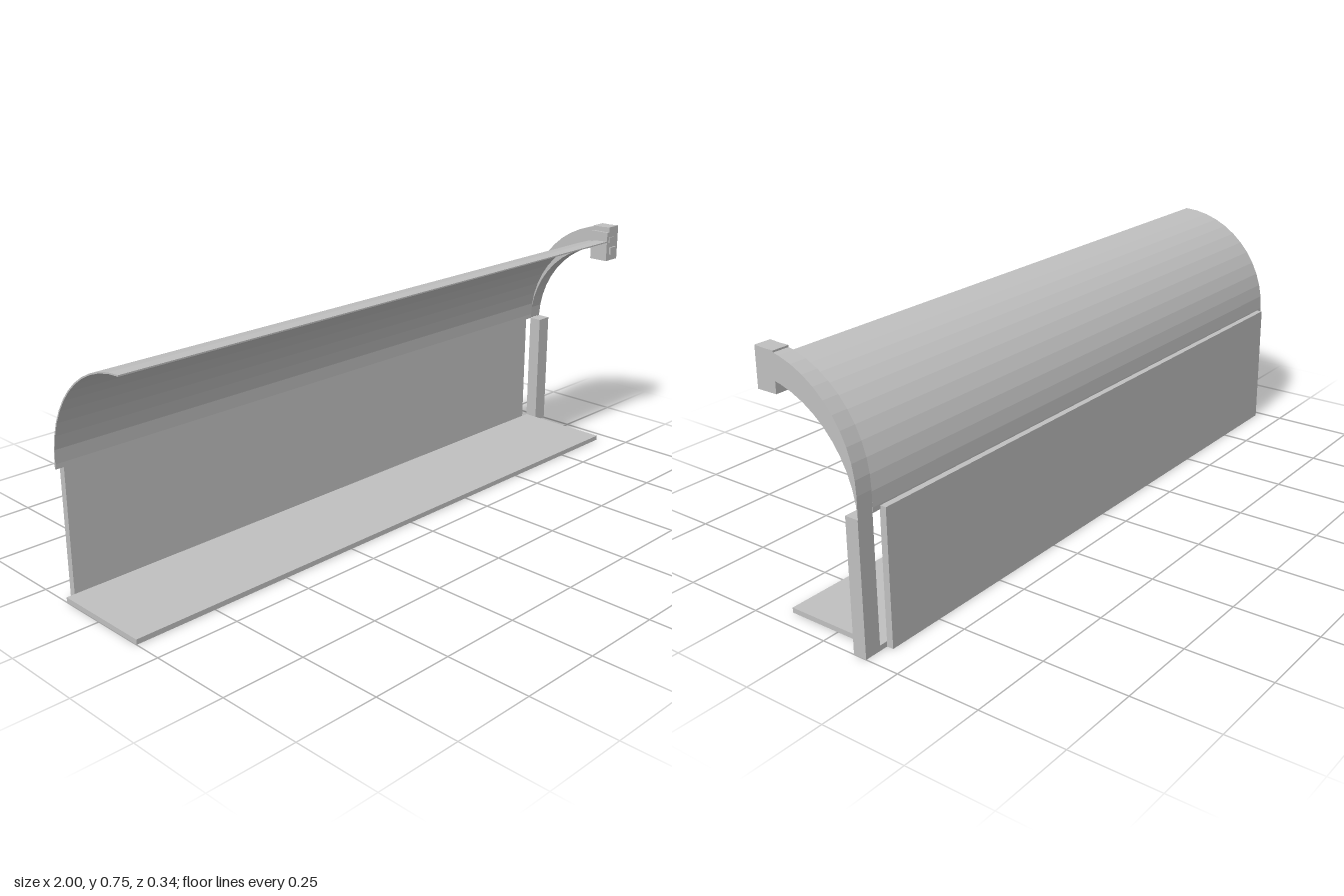
import * as THREE from 'three';

export function createModel() {
  const model = new THREE.Group();
  const grey = new THREE.MeshStandardMaterial({ color: 0xc0c0c0, flatShading: true });
  grey.name = 'plain grey';

  const add = (name, geometry) => {
    const mesh = new THREE.Mesh(geometry, grey);
    mesh.name = name;
    model.add(mesh);
  };
  // Box given by its limits on each axis
  const box = (name, [x0, x1], [y0, y1], [z0, z1]) => {
    const g = new THREE.BoxGeometry(x1 - x0, y1 - y0, z1 - z0);
    g.translate((x0 + x1) / 2, (y0 + y1) / 2, (z0 + z1) / 2);
    add(name, g);
  };
  // Side profile of (z, y) points, swept along x
  const sweep = (name, points, x0, x1) => {
    const g = new THREE.ExtrudeGeometry(new THREE.Shape(points), { depth: x1 - x0, bevelEnabled: false });
    g.rotateY(-Math.PI / 2).translate(x1, 0, 0);
    add(name, g);
  };
  // Quarter arc from the front top (a = 90 degrees) down to the back
  const arc = (cy, r, n, from = Math.PI / 2, to = Math.PI) =>
    Array.from({ length: n + 1 }, (_, i) => {
      const a = from + (to - from) * i / n;
      return new THREE.Vector2(0.163 + r * Math.cos(a), cy + r * Math.sin(a));
    });

  // Floor, back wall and end post
  box('floor', [-1, 0.95], [0, 0.015], [-0.147, 0.163]);
  box('backWall', [-0.975, 0.925], [0, 0.39], [-0.167, -0.147]);
  box('endPost', [0.95, 1], [0, 0.38], [-0.147, -0.106]);

  // Thin curved canopy
  const outer = arc(0.394, 0.312, 12);
  const inner = arc(0.394, 0.308, 12);
  sweep('canopy', [
    ...outer, new THREE.Vector2(-0.149, 0.38),
    new THREE.Vector2(-0.145, 0.38), ...inner.reverse(),
  ], -1, 0.95);

  // Tapering arch: two equal arcs, one lower than the other
  const archOuter = arc(0.441, 0.311, 12);
  const archInner = arc(0.369, 0.311, 12, Math.PI / 2, Math.PI - 0.036);
  sweep('endArch', [
    ...archOuter, new THREE.Vector2(-0.148, 0.38), ...archInner.reverse(),
  ], 0.95, 1);

  // Hook block on the arch tip, with a side step
  box('hookBlock', [0.95, 1], [0.64, 0.75], [0.1, 0.163]);
  box('hookStep', [0.94, 0.95], [0.64, 0.735], [0.1, 0.163]);

  // Small raised details on the hook front
  box('lowerButton', [0.955, 0.985], [0.66, 0.684], [0.16, 0.169]);
  box('upperButton', [0.95, 0.975], [0.7, 0.718], [0.16, 0.166]);

  return model;
}
